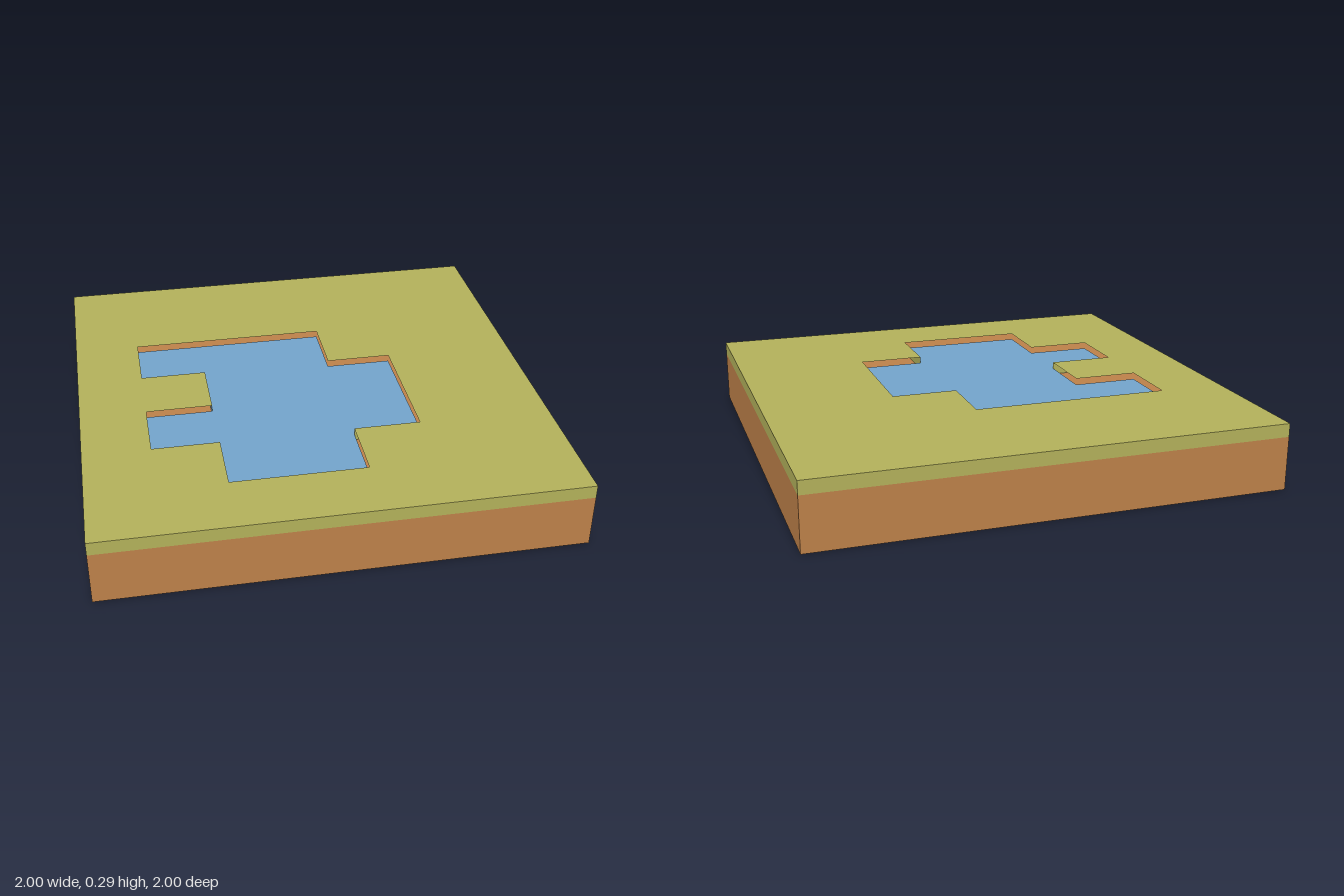
import * as THREE from 'three';

const U = 1 / 7; // tile grid unit

// Pond outline in grid units, as x and z
const POND = [
  [-5, -3], [1, -3], [1, -1], [3, -1], [3, 3], [1, 3], [1, 5],
  [-3, 5], [-3, 3], [-5, 3], [-5, 1], [-3, 1], [-3, -1], [-5, -1],
];
const TILE = [[-7, -7], [7, -7], [7, 7], [-7, 7]];

const toPoints = (outline) => outline.map(([x, z]) => new THREE.Vector2(x * U, -z * U));

// Upright slab with the given outline between two heights
function slab(name, shape, bottom, top, material) {
  const geometry = new THREE.ExtrudeGeometry(shape, { depth: top - bottom, bevelEnabled: false });
  geometry.rotateX(-Math.PI / 2);
  geometry.translate(0, bottom, 0);
  const mesh = new THREE.Mesh(geometry, material);
  mesh.name = name;
  return mesh;
}

export function createModel() {
  const material = (name, color) => new THREE.MeshStandardMaterial({ name, color });
  const grass = material('grass', 0xb2b05a);
  const soil = material('soil', 0xbc8049);
  const water = material('water', 0x72a3cb);

  // Square tile with the pond cut through it
  const ground = new THREE.Shape(toPoints(TILE));
  ground.holes.push(new THREE.Path(toPoints(POND)));
  const pond = new THREE.Shape(toPoints(POND));

  const model = new THREE.Group();
  model.name = 'pondTile';
  model.add(
    slab('soilLayer', ground, 0, 1.6 * U, soil),
    slab('grassLayer', ground, 1.6 * U, 2 * U, grass),
    // Water fills the cut from the underside to just below the grass
    slab('pondWater', pond, 0, 1.8 * U, water),
  );
  return model;
}
